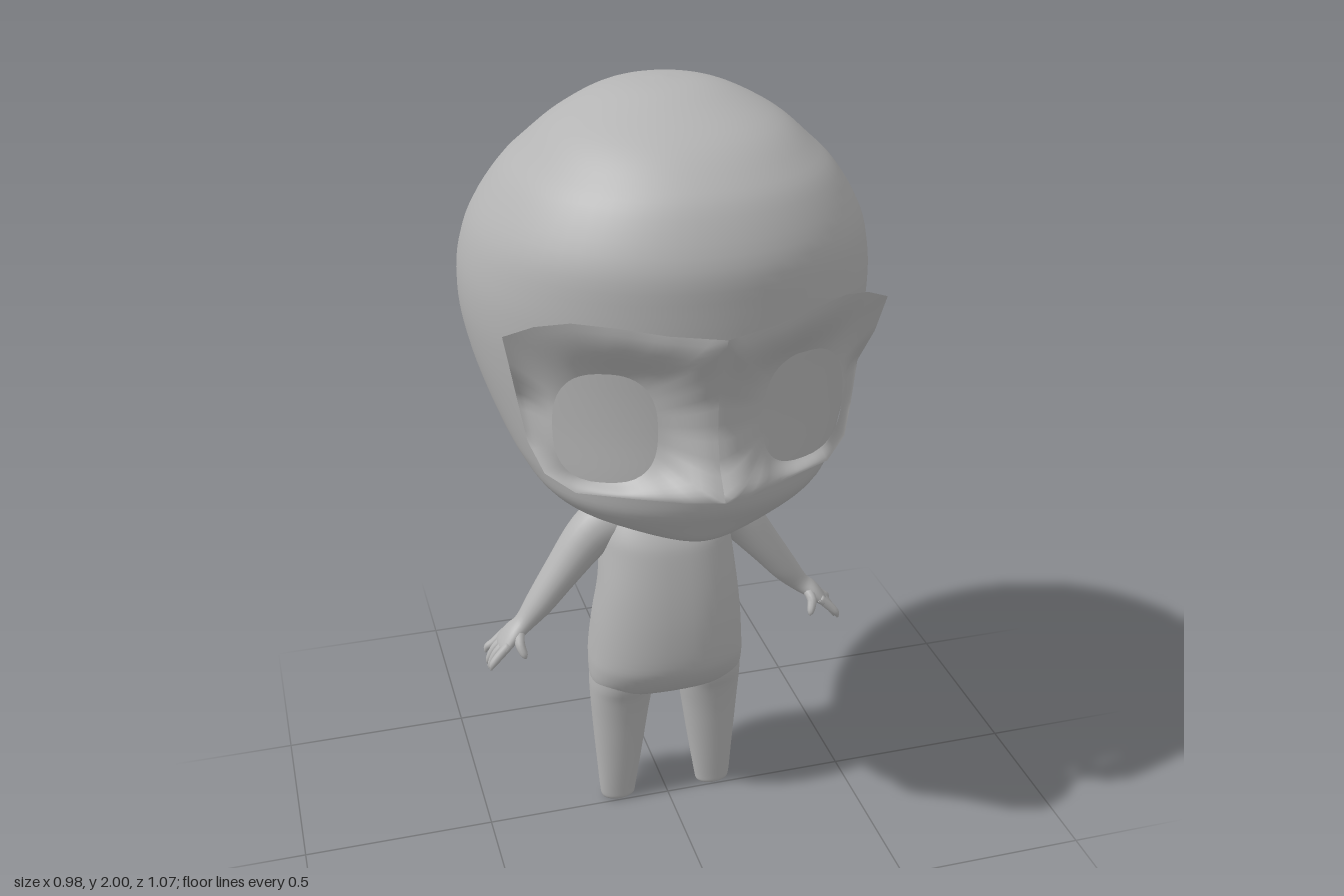
import * as THREE from 'three';

const grey = new THREE.MeshStandardMaterial({ color: 0xb4b4b4, side: THREE.DoubleSide });
grey.name = 'plain grey';

const V = (x, y, z) => new THREE.Vector3(x, y, z);

// Skin equal-length rings; each ring wraps round and both ends are capped
function skin(rings, cap = true) {
  const n = rings[0].length, pos = [], idx = [];
  rings.forEach(r => r.forEach(p => pos.push(p.x, p.y, p.z)));
  for (let i = 0; i < rings.length - 1; i++) {
    for (let j = 0; j < n; j++) {
      const k = (j + 1) % n, a = i * n + j, b = i * n + k;
      idx.push(a, b, a + n, b, b + n, a + n);
    }
  }
  if (cap) {
    for (const i of [0, rings.length - 1]) {
      const c = V(0, 0, 0);
      rings[i].forEach(p => c.addScaledVector(p, 1 / n));
      const m = pos.length / 3;
      pos.push(c.x, c.y, c.z);
      for (let j = 0; j < n; j++) {
        const a = i * n + j, b = i * n + (j + 1) % n;
        if (i === 0) idx.push(m, b, a); else idx.push(m, a, b);
      }
    }
  }
  const g = new THREE.BufferGeometry();
  g.setAttribute('position', new THREE.Float32BufferAttribute(pos, 3));
  g.setIndex(idx);
  g.computeVertexNormals();
  return g;
}

// Smoothly fill in between rows of numbers
function smoothRows(rows, steps) {
  const out = [], last = rows.length - 1;
  for (let i = 0; i < last; i++) {
    const p = [rows[Math.max(i - 1, 0)], rows[i], rows[i + 1], rows[Math.min(i + 2, last)]];
    for (let s = 0; s < steps; s++) {
      const t = s / steps;
      out.push(p[0].map((_, c) => {
        const [a, b, d, e] = p.map(r => r[c]);
        return b + 0.5 * t * (d - a + t * (2 * a - 5 * b + 4 * d - e + t * (3 * (b - d) + e - a)));
      }));
    }
  }
  out.push(rows[last]);
  return out;
}

// Horizontal sections, top to bottom: [y, half width, front z, back z, centre x]
function sections(rows, power, sides = 48, side = 1) {
  const f = v => Math.sign(v) * Math.abs(v) ** (2 / power);
  return skin(smoothRows(rows, 4).map(([y, w, zf, zb, cx = 0]) =>
    Array.from({ length: sides }, (_, j) => {
      const a = j / sides * Math.PI * 2;
      return V(cx * side + w * f(Math.cos(a)), y, (zf + zb) / 2 + (zf - zb) / 2 * f(Math.sin(a)));
    })));
}

// Limb along a path: [x, y, z, thickness in its plane, thickness in depth]
function limb(rows, side, sides = 16) {
  const pts = smoothRows(rows, 4).map(([x, y, z, ...r]) => ({ p: V(x * side, y, z), r }));
  return skin(pts.map(({ p, r }, i) => {
    const T = pts[Math.min(i + 1, pts.length - 1)].p.clone().sub(pts[Math.max(i - 1, 0)].p).normalize();
    const U = V(0, 0, 1).cross(T).normalize(), W = T.clone().cross(U);
    return Array.from({ length: sides }, (_, j) => {
      const a = j / sides * Math.PI * 2;
      return p.clone().addScaledVector(U, r[0] * Math.cos(a)).addScaledVector(W, r[1] * Math.sin(a));
    });
  }));
}

// Half of the mask: a sheet running from the eye hole out to the rim
function maskHalf(side) {
  const rim = [
    [0, 1.585, 0.535], [0.12, 1.593, 0.5], [0.22, 1.606, 0.46], [0.31, 1.608, 0.41], [0.38, 1.59, 0.365],
    [0.443, 1.56, 0.33], [0.425, 1.47, 0.31], [0.405, 1.38, 0.265], [0.388, 1.28, 0.28],
    [0.36, 1.215, 0.32], [0.3, 1.182, 0.37], [0.18, 1.18, 0.43], [0.08, 1.193, 0.505],
    [0, 1.197, 0.535], [0, 1.26, 0.49], [0, 1.34, 0.472], [0, 1.42, 0.475], [0, 1.5, 0.5]];
  const outer = rim.flatMap((a, i) => {
    const b = rim[(i + 1) % rim.length];
    return [0, 0.25, 0.5, 0.75].map(t => V(...a).lerp(V(...b), t));
  });
  const inner = outer.map(p => {
    const a = Math.atan2((p.y - 1.335) / 0.13, (p.x - 0.232) / 0.11), c = Math.cos(a), s = Math.sin(a);
    const k = (c ** 2.6 === 0 ? 1 : Math.abs(c) ** 2.6 + Math.abs(s) ** 2.6) ** (-1 / 2.6);
    const x = 0.232 + 0.11 * c * k;
    return V(x, 1.335 + 0.133 * s * k, 0.42 - (x - 0.12) * 0.38);
  });
  const rings = [];
  for (let i = 0; i <= 8; i++) {
    const t = i / 8;
    rings.push(inner.map((p, j) => {
      const q = p.clone().lerp(outer[j], t);
      q.z = p.z + (outer[j].z - p.z) * Math.sin(t * Math.PI / 2) ** 1.2;
      q.x *= side;
      return q;
    }));
  }
  // keep the outer face forward on both halves
  if (side > 0) rings.reverse();
  return skin(side > 0 ? rings.reverse().map(r => r.reverse()) : rings, false);
}

export function createModel() {
  const model = new THREE.Group();
  model.name = 'figure';
  const add = (name, geometry, parent = model) => {
    const mesh = new THREE.Mesh(geometry, grey);
    mesh.name = name;
    parent.add(mesh);
    return mesh;
  };

  // Large rounded head, tapering to the jaw and overhanging the neck
  add('head', sections([
    [2, 0.01, -0.03, -0.05], [1.993, 0.09, 0.055, -0.125], [1.97, 0.17, 0.135, -0.2],
    [1.92, 0.265, 0.255, -0.28], [1.86, 0.335, 0.335, -0.36], [1.8, 0.395, 0.385, -0.42],
    [1.7, 0.457, 0.428, -0.492], [1.6, 0.486, 0.43, -0.528], [1.5, 0.49, 0.425, -0.533],
    [1.4, 0.475, 0.42, -0.512], [1.3, 0.447, 0.42, -0.46], [1.2, 0.41, 0.424, -0.37],
    [1.15, 0.385, 0.42, -0.285], [1.1, 0.35, 0.408, -0.18], [1.05, 0.29, 0.378, -0.128],
    [1.0, 0.175, 0.345, -0.112], [0.975, 0.09, 0.3, -0.108], [0.962, 0.04, 0.22, -0.1]], 2.05, 64));

  // Neck and torso, with a round belly and seat
  add('torso', sections([
    [1.04, 0.08, 0.04, -0.12], [0.98, 0.062, 0.03, -0.108], [0.95, 0.075, 0.032, -0.105],
    [0.93, 0.115, 0.042, -0.115], [0.9, 0.145, 0.06, -0.135], [0.85, 0.165, 0.09, -0.153],
    [0.8, 0.172, 0.105, -0.155], [0.7, 0.183, 0.122, -0.14], [0.6, 0.196, 0.131, -0.168],
    [0.5, 0.205, 0.13, -0.19], [0.45, 0.208, 0.115, -0.176], [0.4, 0.205, 0.08, -0.14],
    [0.37, 0.185, 0.045, -0.105], [0.355, 0.13, 0.015, -0.075]], 2.3));

  for (const side of [1, -1]) {
    const word = side > 0 ? 'left' : 'right';

    // Tapered leg with a blunt end
    add(word + 'Leg', sections([
      [0.48, 0.08, 0.07, -0.13, 0.12], [0.4, 0.085, 0.06, -0.125, 0.122], [0.35, 0.084, 0.045, -0.11, 0.123],
      [0.28, 0.077, 0.032, -0.1, 0.126], [0.2, 0.069, 0.022, -0.09, 0.129], [0.1, 0.058, 0.011, -0.076, 0.133],
      [0.03, 0.05, 0.003, -0.064, 0.136], [0.008, 0.046, 0, -0.06, 0.136], [0, 0.038, -0.006, -0.055, 0.136]],
      2.1, 32, side));

    // Arm running down into the palm
    const arm = new THREE.Group();
    arm.name = word + 'Arm';
    model.add(arm);
    add('arm', limb([
      [0.06, 0.865, -0.045, 0.06, 0.06], [0.13, 0.87, -0.045, 0.073, 0.066], [0.195, 0.835, -0.043, 0.062, 0.06],
      [0.275, 0.735, -0.04, 0.047, 0.05], [0.335, 0.655, -0.037, 0.037, 0.04], [0.378, 0.605, -0.033, 0.026, 0.03],
      [0.41, 0.58, -0.03, 0.022, 0.04], [0.435, 0.553, -0.03, 0.017, 0.045], [0.445, 0.54, -0.03, 0.01, 0.04]],
      side, 24), arm);

    // Four fingers and a thumb
    [[-0.063, -0.07, 0.51], [-0.041, -0.044, 0.492], [-0.018, -0.018, 0.492], [0.002, 0.008, 0.503]]
      .forEach(([z0, z1, tip], i) => add('finger' + (i + 1), limb([
        [0.425, 0.565, z0, 0.012, 0.012], [0.455, 0.535, (z0 + z1) / 2, 0.012, 0.011],
        [0.473, tip + 0.012, z1, 0.009, 0.009], [0.478, tip - 0.004, z1, 0.003, 0.003]], side, 10), arm));
    add('thumb', limb([
      [0.395, 0.59, -0.015, 0.015, 0.015], [0.4, 0.57, 0.012, 0.013, 0.013],
      [0.393, 0.545, 0.027, 0.01, 0.01], [0.389, 0.533, 0.03, 0.003, 0.003]], side, 10), arm);
  }

  // Thin mask standing off the face, set slightly off centre
  const mask = new THREE.Group();
  mask.name = 'mask';
  mask.position.x = -0.018;
  model.add(mask);
  add('leftMaskHalf', maskHalf(1), mask);
  add('rightMaskHalf', maskHalf(-1), mask);

  return model;
}
